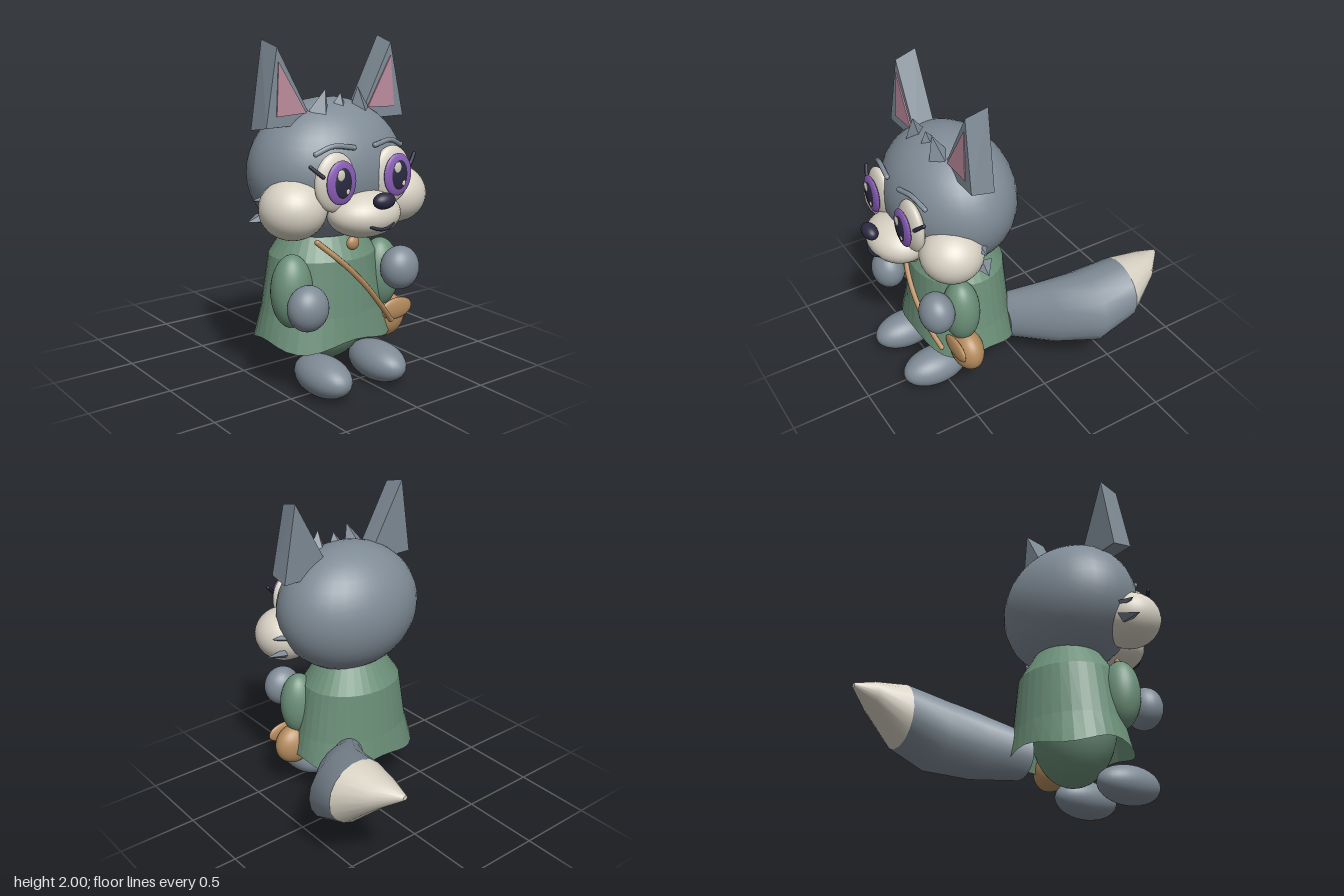
import * as THREE from 'three';
import { ConvexGeometry } from 'three/addons/geometries/ConvexGeometry.js';

const mat = (name, color, side = THREE.FrontSide) => {
  const m = new THREE.MeshStandardMaterial({ color, side });
  m.name = name;
  return m;
};
const V = (p) => new THREE.Vector3(...p);

export function createModel() {
  const fur = mat('grey fur', 0x7f8b96);
  const cream = mat('cream fur', 0xd8d2c4);
  const green = mat('green cloth', 0x6c9079, THREE.DoubleSide);
  const purple = mat('purple iris', 0x8a5cb8);
  const dark = mat('dark navy', 0x2b2a42);
  const pink = mat('pink inner ear', 0xbb8b9c);
  const tan = mat('tan leather', 0xb58c5e);

  // The figure stands left of centre so that the tail balances it
  const model = new THREE.Group();
  model.name = 'foxCharacter';
  const figure = new THREE.Group();
  figure.name = 'figure';
  figure.position.x = -0.12;
  model.add(figure);

  const add = (name, geo, material) => {
    const m = new THREE.Mesh(geo, material);
    m.name = name;
    figure.add(m);
    return m;
  };
  const ball = (name, c, r, material) => {
    const m = add(name, new THREE.SphereGeometry(1, 32, 22), material);
    m.position.set(...c);
    m.scale.set(...r);
    return m;
  };
  const tube = (name, pts, r, material) => {
    add(name, new THREE.TubeGeometry(new THREE.CatmullRomCurve3(pts.map(V)), 16, r, 8), material);
    for (const p of [pts[0], pts[pts.length - 1]]) ball(name + 'End', p, [r, r, r], material);
  };
  const spike = (name, base, tip, r, flat = 1) => {
    const dir = V(tip).sub(V(base));
    const geo = new THREE.ConeGeometry(r, dir.length(), 4).toNonIndexed();
    geo.computeVertexNormals();
    const m = add(name, geo, fur);
    m.scale.z = flat;
    m.position.copy(V(base)).addScaledVector(dir, 0.5);
    m.quaternion.setFromUnitVectors(new THREE.Vector3(0, 1, 0), dir.normalize());
    return m;
  };

  // Head and muzzle
  ball('head', [0, 1.26, 0.31], [0.483, 0.41, 0.38], fur);
  ball('muzzle', [0, 1.06, 0.66], [0.22, 0.13, 0.18], cream);
  ball('nose', [0, 1.16, 0.83], [0.07, 0.045, 0.045], dark);
  tube('mouth', [[-0.078, 1.025, 0.815], [-0.035, 1.008, 0.83], [0, 1.004, 0.834],
    [0.035, 1.008, 0.83], [0.078, 1.025, 0.815]], 0.009, dark);

  for (const s of [-1, 1]) {
    const side = s > 0 ? 'left' : 'right';

    // Cheeks with side tufts
    ball(side + 'Cheek', [s * 0.36, 1.1, 0.495], [0.19, 0.17, 0.187], cream);
    spike(side + 'CheekTuftLow', [s * 0.46, 1.04, 0.355], [s * 0.58, 1.035, 0.38], 0.06, 0.5)
      .rotateY(Math.PI / 2);
    spike(side + 'CheekTuftHigh', [s * 0.45, 1.14, 0.36], [s * 0.54, 1.15, 0.37], 0.045, 0.6)
      .rotateY(Math.PI / 2);

    // Eyes
    const ex = s * 0.197;
    ball(side + 'EyeWhite', [ex, 1.255, 0.655], [0.133, 0.163, 0.05], cream);
    ball(side + 'Iris', [ex, 1.262, 0.712], [0.098, 0.12, 0.022], purple);
    ball(side + 'Pupil', [ex, 1.262, 0.722], [0.062, 0.088, 0.018], dark);
    ball(side + 'EyeGlint', [ex - 0.021, 1.307, 0.736], [0.025, 0.031, 0.007], cream);
    ball(side + 'EyeGlintSmall', [ex + 0.025, 1.215, 0.735], [0.013, 0.016, 0.006], cream);
    tube(side + 'Lash', [[s * 0.302, 1.3, 0.69], [s * 0.335, 1.33, 0.675], [s * 0.362, 1.355, 0.66]],
      0.011, dark);
    tube(side + 'Brow', [[s * 0.295, 1.41, 0.615], [s * 0.2, 1.447, 0.64], [s * 0.075, 1.432, 0.66]],
      0.015, fur);

    // Ears: tapered wedges with a pink plate on the front
    add(side + 'Ear', new ConvexGeometry([
      [0.395, 1.965, 0.405], [0.48, 1.54, 0.425], [0.16, 1.54, 0.415],
      [0.405, 2.0, 0.27], [0.488, 1.515, 0.285], [0.14, 1.515, 0.285],
    ].map(([x, y, z]) => new THREE.Vector3(s * x, y, z))), fur);
    const inner = [[0.39, 1.887, 0.409], [0.412, 1.597, 0.422], [0.216, 1.604, 0.419]];
    add(side + 'InnerEar', new ConvexGeometry([-0.003, 0.005].flatMap((d) =>
      inner.map(([x, y, z]) => new THREE.Vector3(s * x, y, z + d)))), pink);

    // Sleeves, paws and feet
    ball(side + 'Sleeve', [s * 0.32, 0.61, 0.425], [0.125, 0.212, 0.113], green);
    ball(side + 'Hand', [s * 0.331, s > 0 ? 0.675 : 0.557, 0.595], [0.122, 0.13, 0.105], fur);
    ball(side + 'Foot', [s * 0.2, 0.12, 0.558], [0.13, 0.116, 0.218], fur);

    // Outer hair tufts
    spike(side + 'HairTuft', [s * 0.14, 1.6, 0.43], [s * 0.112, 1.735, 0.457], 0.07);
  }
  spike('middleHairTuft', [0, 1.62, 0.425], [0.005, 1.705, 0.44], 0.055);

  // Body under the cloak
  ball('body', [0, 0.47, 0.32], [0.28, 0.355, 0.245], green);

  // Cloak: a faceted, oval flare with a wavy hem
  const profile = [[0.43, 0.28], [0.385, 0.45], [0.33, 0.77], [0.22, 0.93]];
  let cloak = new THREE.LatheGeometry(profile.map((p) => new THREE.Vector2(...p)), 36);
  const pos = cloak.attributes.position;
  for (let i = 0; i < pos.count; i++) {
    const x = pos.getX(i), y = pos.getY(i), z = pos.getZ(i);
    const wave = Math.cos(4 * Math.atan2(x, z));
    const hem = y < 0.3 ? 1 : 0;
    const grow = 1 - hem * 0.03 * wave;
    const depth = 0.86 - 0.09 * Math.min(1, Math.max(0, (0.77 - y) / 0.45));
    pos.setXYZ(i, x * grow, y + hem * 0.026 * wave, z * depth * grow + 0.28);
  }
  cloak = cloak.toNonIndexed();
  cloak.computeVertexNormals();
  add('cloak', cloak, green);
  ball('cloakButton', [0, 0.87, 0.567], [0.041, 0.041, 0.027], tan);

  // Shoulder bag
  tube('bagStrap', [[-0.205, 0.89, 0.51], [-0.08, 0.77, 0.58], [0.05, 0.635, 0.607],
    [0.18, 0.485, 0.597], [0.3, 0.35, 0.56]], 0.017, tan);
  ball('bag', [0.37, 0.33, 0.42], [0.138, 0.135, 0.095], tan);
  ball('bagFlap', [0.39, 0.388, 0.508], [0.118, 0.066, 0.024], tan);

  // Tail: oval sections [x, y, z, rx, ry] joined into skins, split at the cream tip
  const sections = [
    [0.21, 0.315, 0.08, 0.14, 0.145], [0.415, 0.397, -0.13, 0.195, 0.203],
    [0.56, 0.47, -0.325, 0.235, 0.225], [0.61, 0.56, -0.54, 0.2, 0.2],
    [0.59, 0.637, -0.74, 0.11, 0.09], [0.548, 0.665, -0.875, 0.015, 0.015],
  ];
  const skin = (name, rings, material) => {
    const n = 18, verts = [], index = [];
    for (const [x, y, z, rx, ry] of rings) {
      for (let i = 0; i < n; i++) {
        const a = (i / n) * Math.PI * 2;
        verts.push(x + rx * Math.cos(a), y + ry * Math.sin(a), z);
      }
    }
    for (let r = 0; r < rings.length - 1; r++) {
      for (let i = 0; i < n; i++) {
        const a = r * n + i, b = r * n + (i + 1) % n;
        index.push(a, a + n, b, b, a + n, b + n);
      }
    }
    const geo = new THREE.BufferGeometry();
    geo.setAttribute('position', new THREE.Float32BufferAttribute(verts, 3));
    geo.setIndex(index);
    geo.computeVertexNormals();
    add(name, geo, material);
  };
  const cap = (name, [x, y, z, rx, ry], back, material) => {
    const m = add(name, new THREE.CircleGeometry(1, 18), material);
    m.position.set(x, y, z);
    m.scale.set(rx, ry, 1);
    if (back) m.rotation.y = Math.PI;
  };
  skin('tail', sections.slice(0, 4), fur);
  skin('tailTip', sections.slice(3), cream);
  cap('tailRoot', sections[0], false, fur);
  cap('tailEnd', sections[5], true, cream);

  return model;
}
